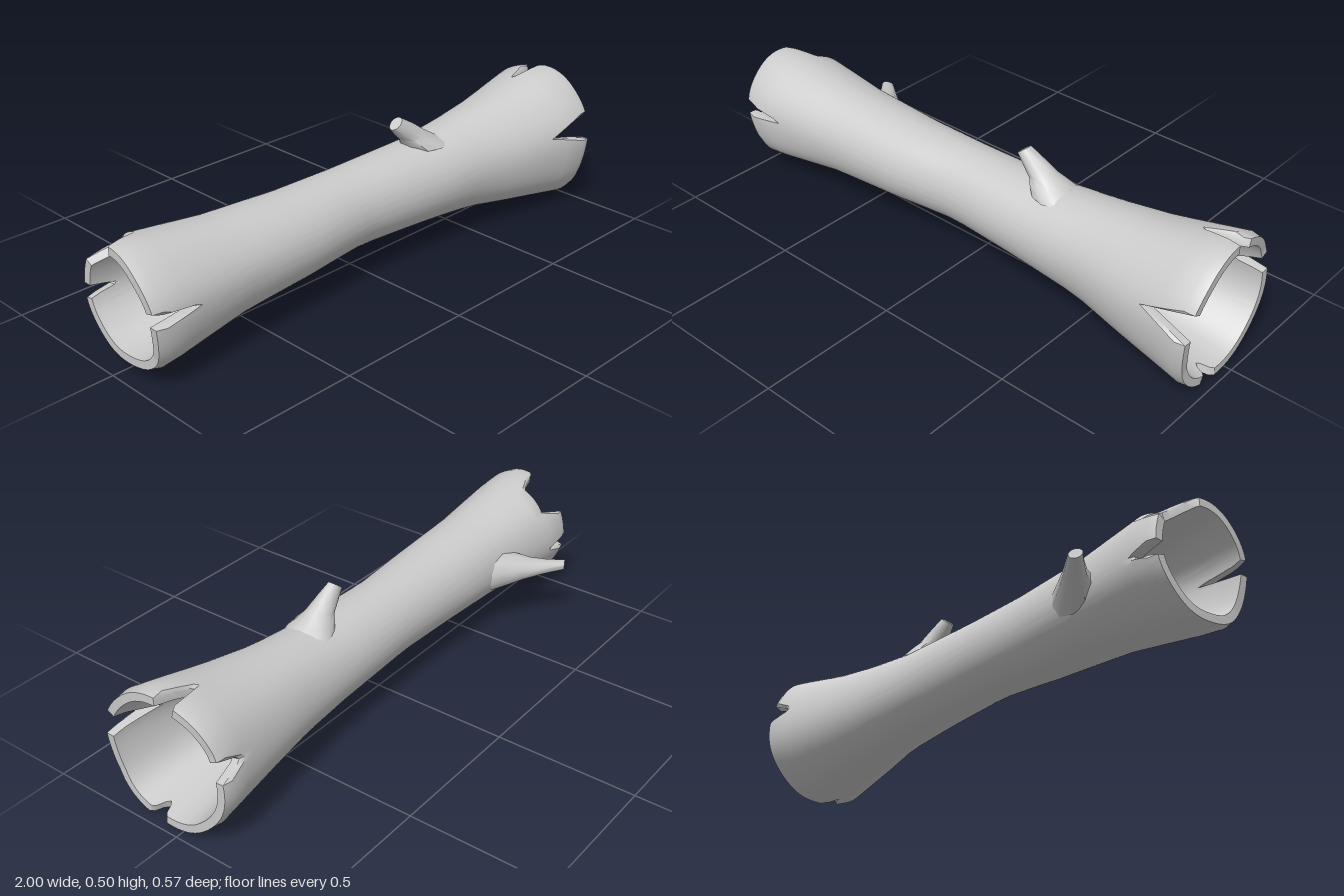
import * as THREE from 'three';
import { toCreasedNormals } from 'three/addons/utils/BufferGeometryUtils.js';

const material = new THREE.MeshStandardMaterial({ color: 0xcccccc, side: THREE.DoubleSide });
const rad = THREE.MathUtils.degToRad;

// outline of the log along its length: x, bottom, top, back, front
const stations = [
  [-1, 0.045, 0.455, -0.17, 0.23],
  [-0.9, 0.05, 0.445, -0.165, 0.23],
  [-0.6, 0.09, 0.41, -0.13, 0.2],
  [-0.3, 0.1, 0.395, -0.115, 0.185],
  [-0.05, 0.11, 0.39, -0.11, 0.162],
  [0.3, 0.092, 0.395, -0.12, 0.18],
  [0.5, 0.075, 0.415, -0.133, 0.19],
  [0.7, 0.045, 0.445, -0.16, 0.23],
  [0.95, 0.008, 0.5, -0.2, 0.275],
  [1.0, 0.0, 0.505, -0.205, 0.28],
];

// splits in each end: angle (0 front, 90 top), half width, depth, flatness
const rightNotches = [[15, 12, 0.18, 1], [98, 8, 0.13, 1.2], [165, 9, 0.09, 1.3], [-75, 7, 0.05, 1.3]];
const leftNotches = [[7, 6, 0.16, 1.2], [124, 29, 0.1, 2.5], [187, 7, 0.09, 1.3]];

function notchDepth(list, deg) {
  let depth = 0;
  for (const [centre, half, d, flat] of list) {
    const off = Math.abs(((deg - centre + 540) % 360) - 180);
    depth = Math.max(depth, d * Math.min(1, flat * Math.max(0, 1 - off / half)));
  }
  return depth;
}

const wave = (deg, centre) => Math.max(0, Math.cos(rad(deg - centre)));
const rightEnd = (deg) => 0.975 + 0.025 * wave(deg, 60) - notchDepth(rightNotches, deg);
const leftEnd = (deg) => -0.967 - 0.033 * wave(deg, 50) + notchDepth(leftNotches, deg);

// point of the shell at a length, an angle and a depth below the bark
function shellPoint(x, deg, inset) {
  let i = 0;
  while (i < stations.length - 2 && x > stations[i + 1][0]) i++;
  const a = stations[i], b = stations[i + 1];
  const t = (x - a[0]) / (b[0] - a[0]);
  const [, low, high, back, front] = a.map((v, k) => v + (b[k] - v) * t);
  const flare = Math.max(0, Math.abs(x) - 0.2);
  const bulge = 1 + flare * (0.09 * wave(deg, -50) ** 6 + 0.012 * Math.sin(rad(deg * 6)));
  const ry = ((high - low) / 2) * bulge - inset;
  const rz = ((front - back) / 2) * bulge - inset;
  return [x, (low + high) / 2 + ry * Math.sin(rad(deg)), (back + front) / 2 + rz * Math.cos(rad(deg))];
}

// hollow shell: out along the bark, back along the bore, closed at both rims
function logGeometry() {
  const inner = 0.76, columns = 120, wall = 0.038;
  const along = [-2, -1.85, -1.5, -1.2];
  for (let i = -10; i <= 10; i++) along.push(i / 10);
  along.push(1.2, 1.5, 1.85, 2);
  const rows = [
    ...along.map((s) => [s, Math.abs(s) === 2 ? 0.01 : 0]),
    ...[...along].reverse().map((s) => [s, wall]),
  ];
  const positions = [], index = [];
  for (const [s, inset] of rows) {
    for (let j = 0; j < columns; j++) {
      const deg = (j / columns) * 360;
      const t = Math.abs(s) - 1;
      const end = s > 0 ? rightEnd(deg) : leftEnd(deg);
      const x = t <= 0 ? s * inner : THREE.MathUtils.lerp(Math.sign(s) * inner, end, t);
      positions.push(...shellPoint(x, deg, inset));
    }
  }
  const at = (i, j) => (i % rows.length) * columns + (j % columns);
  for (let i = 0; i < rows.length; i++) {
    for (let j = 0; j < columns; j++) {
      index.push(at(i, j), at(i + 1, j), at(i + 1, j + 1), at(i, j), at(i + 1, j + 1), at(i, j + 1));
    }
  }
  const geometry = new THREE.BufferGeometry();
  geometry.setAttribute('position', new THREE.Float32BufferAttribute(positions, 3));
  geometry.setIndex(index);
  return toCreasedNormals(geometry, 0.65);
}

// broken twig: a turned taper that leans to -x, with a tilted cut at its tip
function branch(name, profile, lean, tilt) {
  const points = profile.map(([r, h]) => new THREE.Vector2(r, h));
  const height = points[points.length - 1].y;
  points.push(new THREE.Vector2(0, height));
  const geometry = new THREE.LatheGeometry(points, 10);
  const p = geometry.attributes.position;
  for (let i = 0; i < p.count; i++) {
    const x = p.getX(i), h = p.getY(i);
    p.setX(i, x - lean * h);
    p.setY(i, h + tilt * x * Math.max(0, h / height));
  }
  const mesh = new THREE.Mesh(toCreasedNormals(geometry, 0.8), material);
  mesh.name = name;
  return mesh;
}

export function createModel() {
  const group = new THREE.Group();
  group.name = 'hollowLog';

  const trunk = new THREE.Mesh(logGeometry(), material);
  trunk.name = 'trunk';
  group.add(trunk);

  const topBranch = branch('topBranch', [[0.085, -0.018], [0.068, 0.006], [0.046, 0.03], [0.034, 0.06], [0.022, 0.092]], 1.3, 0.8);
  topBranch.position.set(0.305, 0.395, 0.035);
  group.add(topBranch);

  const backBranch = branch('backBranch', [[0.095, -0.015], [0.078, 0.015], [0.052, 0.055], [0.034, 0.1], [0.021, 0.152]], 1.1, 0.5);
  backBranch.position.set(-0.6, 0.24, -0.127);
  backBranch.rotation.x = -Math.PI / 2;
  backBranch.scale.z = 0.75;
  group.add(backBranch);

  return group;
}
